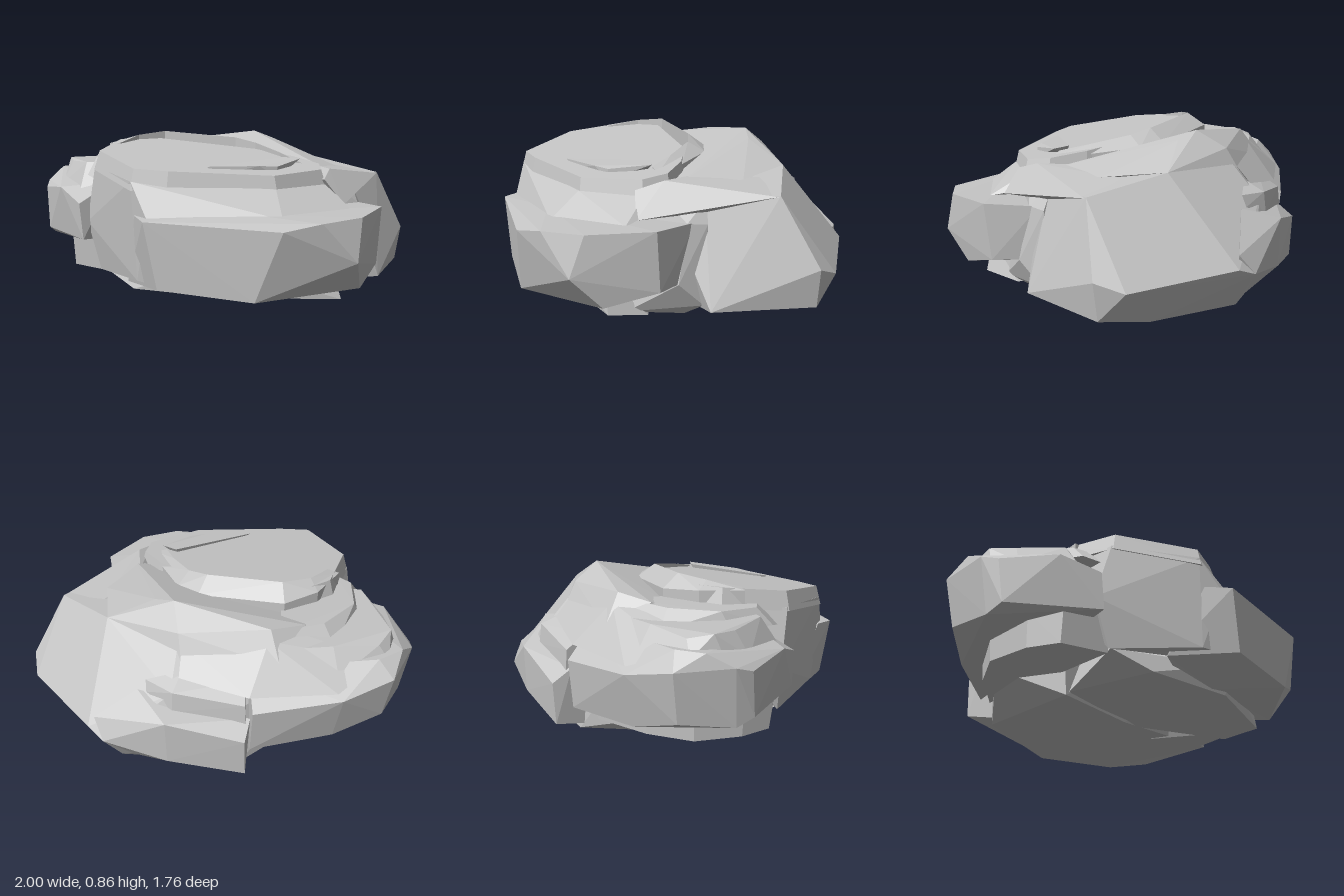
import * as THREE from 'three';
import { ConvexGeometry } from 'three/addons/geometries/ConvexGeometry.js';

const stone = new THREE.MeshStandardMaterial({ color: 0xc5c5c5 });
stone.name = 'stone grey';

// One chipped mass of rock, spanned by its corner points [x, y, z]
function chunk(name, corners) {
  const mesh = new THREE.Mesh(new ConvexGeometry(corners.map((c) => new THREE.Vector3(...c))), stone);
  mesh.name = name;
  return mesh;
}

// Slab on an outline of [x, z] corners, its top drawn in by the inset factor
function slab(name, outline, top, bottom, inset) {
  const cx = outline.reduce((s, p) => s + p[0], 0) / outline.length;
  const cz = outline.reduce((s, p) => s + p[1], 0) / outline.length;
  const corners = [];
  for (const [x, z] of outline) {
    const ix = cx + (x - cx) * inset, iz = cz + (z - cz) * inset;
    corners.push([ix, top(ix, iz), iz], [x, bottom(x, z), z]);
  }
  return chunk(name, corners);
}

export function createModel() {
  const rock = new THREE.Group();
  rock.name = 'rock';

  // Main mass: flat base, sloping back and broad right flank
  rock.add(chunk('mainMass', [
    [-0.45, 0.02, 0.1], [0, 0, 0.12], [0.3, 0.05, -0.76], [0.72, 0.05, -0.55], [-0.3, 0.06, -0.58],
    [0.9, 0.11, 0.05], [0.97, 0.11, -0.45], [1, 0.3, -0.45], [0.92, 0.25, -0.57],
    [0.33, 0.24, -0.88], [0, 0.24, -0.82], [0.43, 0.28, -0.85],
    [0.86, 0.63, -0.3], [0.74, 0.62, 0.03], [0.48, 0.7, -0.48], [0.05, 0.72, -0.54],
    [0.02, 0.52, -0.72], [-0.6, 0.6, -0.3], [-0.5, 0.66, 0.1], [-0.6, 0.2, -0.25], [0.6, 0.62, 0.2],
  ]));

  // Block at the foot of the back, with a thin ledge above it
  rock.add(chunk('backBlock', [
    [-0.37, 0.12, -0.71], [-0.37, 0.34, -0.72], [0, 0.18, -0.83], [0.33, 0.24, -0.88], [0, 0.43, -0.835],
    [0.4, 0.34, -0.83], [-0.36, 0.41, -0.62], [0.2, 0.5, -0.72], [-0.3, 0.08, -0.5], [0.3, 0.06, -0.75],
  ]));
  rock.add(chunk('backLedge', [
    [0.16, 0.56, -0.7], [0, 0.55, -0.735], [-0.34, 0.5, -0.64], [0.15, 0.5, -0.72], [0, 0.44, -0.75],
    [-0.35, 0.38, -0.65], [0, 0.6, -0.62], [-0.3, 0.57, -0.54],
  ]));

  // Undercut base towards the front
  rock.add(chunk('frontBase', [
    [-0.45, 0.03, 0.12], [0.1, 0.01, 0.1], [0.2, 0.06, 0.42], [0.72, 0.06, 0.3], [0.75, 0.09, 0.5],
    [-0.3, 0.08, 0.52], [0.2, 0.09, 0.62], [-0.5, 0.16, 0.42], [0.7, 0.25, 0.5], [0.2, 0.25, 0.64], [-0.4, 0.3, 0.2],
  ]));

  // Bulging lobe at the front right
  rock.add(chunk('frontLobe', [
    [-0.12, 0.49, 0.88], [0.53, 0.47, 0.88], [-0.06, 0.17, 0.86], [0.4, 0.14, 0.86],
    [0.69, 0.5, 0.79], [0.84, 0.31, 0.69], [0.84, 0.16, 0.54], [0.85, 0.51, 0.62], [0.92, 0.52, 0.31],
    [0.9, 0.23, 0.29], [0.78, 0.23, 0.14], [0.77, 0.51, 0.08], [0.3, 0.52, 0.7],
    [-0.2, 0.5, 0.77], [-0.3, 0.14, 0.6], [0.1, 0.1, 0.6],
  ]));

  // Fill at the bottom of the groove between lobe and right flank
  rock.add(chunk('grooveFill', [
    [0.74, 0.61, 0.02], [0.79, 0.5, 0.03], [0.79, 0.25, 0.03], [0.8, 0.11, 0.05], [0.72, 0.05, 0.12],
    [0.7, 0.08, 0.4], [0.82, 0.23, 0.18], [0.79, 0.51, 0.13], [0.68, 0.62, 0.22], [0.4, 0.04, 0], [0.4, 0.5, 0.3],
  ]));

  // Neck flaring from the cap down to the lobe
  rock.add(chunk('neck', [
    [-0.22, 0.66, 0.76], [0.44, 0.62, 0.57], [0.65, 0.62, 0.3], [-0.53, 0.7, 0.45], [-0.5, 0.7, 0],
    [-0.12, 0.49, 0.82], [0.5, 0.5, 0.72], [0.78, 0.515, 0.42], [-0.6, 0.4, 0.4], [-0.2, 0.18, 0.74],
    [-0.52, 0.15, 0.42], [0.55, 0.62, 0], [-0.06, 0.17, 0.8],
  ]));

  // Layered ledges on the left
  rock.add(slab('leftLowerLedge',
    [[-0.78, 0.14], [-0.72, 0.3], [-0.5, 0.4], [-0.4, -0.5], [-0.64, -0.3], [-0.78, -0.1]],
    () => 0.32, () => 0.14, 1.06));
  rock.add(chunk('leftMiddleLedge', [
    [-1, 0.57, 0.03], [-0.97, 0.54, 0.12], [-0.78, 0.57, 0.34], [-0.62, 0.5, 0.46], [-0.6, 0.31, 0.46],
    [-0.96, 0.27, 0.05], [-0.95, 0.31, 0.14], [-0.97, 0.56, -0.25], [-0.93, 0.3, -0.22], [-0.77, 0.5, -0.43],
    [-0.72, 0.22, -0.38], [-0.38, 0.46, -0.64], [-0.36, 0.2, -0.62], [-0.97, 0.64, -0.1],
    [-0.88, 0.64, -0.22], [-0.3, 0.62, -0.5], [-0.5, 0.6, 0.3],
  ]));
  rock.add(chunk('leftUpperLedge', [
    [-0.89, 0.7, -0.04], [-0.82, 0.69, 0.08], [-0.66, 0.7, 0.26], [-0.91, 0.6, 0], [-0.86, 0.57, 0.14],
    [-0.66, 0.55, 0.36], [-0.86, 0.68, -0.16], [-0.92, 0.6, -0.16], [-0.66, 0.7, -0.28], [-0.72, 0.58, -0.36],
    [-0.35, 0.7, -0.44], [-0.35, 0.58, -0.54], [-0.4, 0.7, 0.2],
  ]));
  rock.add(chunk('leftTopLedge', [
    [-0.67, 0.74, 0.06], [-0.6, 0.73, 0.26], [-0.5, 0.73, 0.3], [-0.7, 0.65, 0.1], [-0.62, 0.64, 0.34],
    [-0.48, 0.6, 0.44], [-0.58, 0.75, -0.18], [-0.66, 0.66, -0.24], [-0.4, 0.76, -0.34], [-0.4, 0.66, -0.46],
    [-0.3, 0.74, 0],
  ]));

  // Long slope from the ridge to the left side of the back
  rock.add(chunk('backLeftSlope', [
    [-0.88, 0.62, -0.2], [-0.74, 0.53, -0.42], [-0.35, 0.53, -0.61], [0, 0.58, -0.66], [-0.37, 0.74, -0.41],
    [-0.5, 0.73, -0.28], [-0.72, 0.68, -0.16], [0.03, 0.72, -0.54], [-0.4, 0.5, -0.3],
  ]));

  // Ridge along the back of the top, falling away towards the cap
  rock.add(chunk('backRidge', [
    [-0.5, 0.76, -0.24], [-0.37, 0.79, -0.38], [0.13, 0.85, -0.41], [0.25, 0.81, -0.38], [0.05, 0.76, -0.54],
    [0.48, 0.7, -0.48], [0.64, 0.67, -0.2], [0.64, 0.67, 0.12], [0.25, 0.73, -0.16], [0.05, 0.73, -0.18],
    [-0.36, 0.73, -0.14], [-0.5, 0.68, -0.05], [-0.45, 0.64, -0.46], [0, 0.6, -0.62],
  ]));

  // Tilted cap with a raised rim, crested on its inner edge
  const tilt = (x, z) => 0.81 - 0.11 * z - 0.09 * (x + 0.3);
  rock.add(slab('cap',
    [[-0.55, 0.1], [-0.53, 0.46], [-0.22, 0.77], [-0.05, 0.74], [0.45, 0.57], [0.65, 0.3], [0.62, 0.16],
      [0.46, 0.04], [0.22, -0.05], [-0.36, -0.06], [-0.48, 0]],
    tilt, (x, z) => tilt(x, z) - 0.1, 0.95));

  const rim = [[-0.54, 0.22], [-0.49, 0], [-0.36, -0.15], [0.1, -0.19], [0.24, -0.14], [0.42, 0.04], [0.54, 0.2]];
  const crest = [0.005, 0.025, 0.04, 0.04, 0.03, 0.02, 0.01];
  for (let i = 0; i < rim.length - 1; i++) {
    const corners = [];
    for (const j of [i, i + 1]) {
      const [x, z] = rim[j], y = tilt(x, z);
      const ix = x * 0.88, iz = 0.25 + (z - 0.25) * 0.78;
      corners.push([x, y - crest[j], z], [x, y - 0.1, z], [ix, y - 0.1, iz], [ix, tilt(ix, iz) + crest[j], iz]);
    }
    rock.add(chunk('capRim', corners));
  }

  // Low sliver on the right of the cap
  rock.add(chunk('capSliver', [
    [0.41, 0.745, 0.2], [0.5, 0.74, 0.22], [0.34, 0.72, 0.47], [0.1, 0.72, 0.57], [0.42, 0.715, 0.42],
    [0.4, 0.66, 0.25], [0.15, 0.68, 0.55], [0.42, 0.66, 0.42],
  ]));

  // Shoulder running down from the cap to the right flank
  rock.add(chunk('rightShoulder', [
    [0.55, 0.69, 0.02], [0.65, 0.69, 0.2], [0.64, 0.65, 0.34], [0.7, 0.66, -0.15], [0.86, 0.625, -0.29],
    [0.76, 0.55, 0.05], [0.74, 0.53, 0.36], [0.45, 0.6, 0], [0.6, 0.67, -0.3],
  ]));

  return rock;
}
